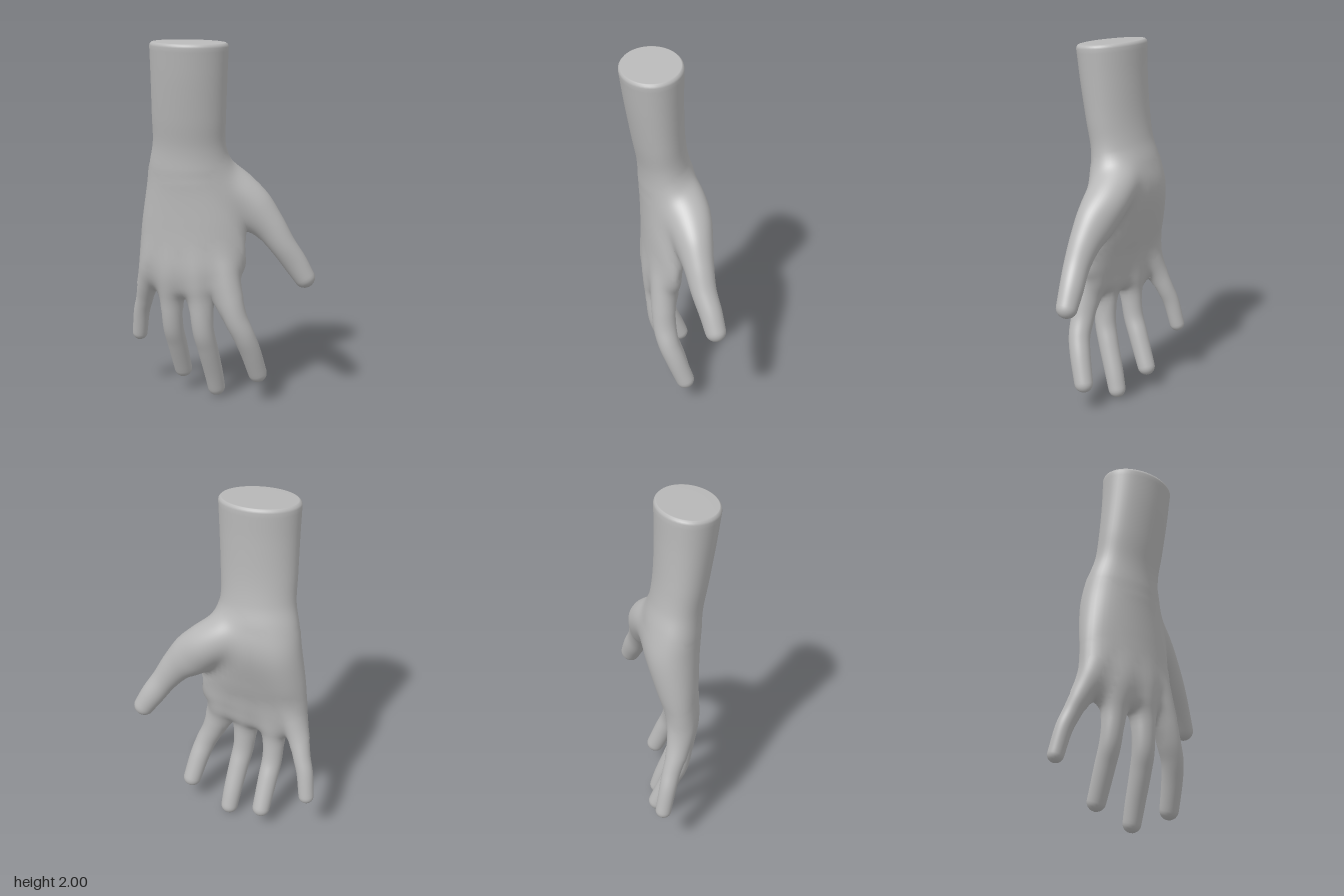
import * as THREE from 'three';

const SIDES = 48;
const FRONT = new THREE.Vector3(0, 0, 1);
const skin = new THREE.MeshStandardMaterial({ color: 0xb8b8b8 });
skin.name = 'plain grey';

// Lofts smooth elliptical sections along a path.
// Each row: [x, y, z, half width, half depth, arch]; arch bends the side edges backwards.
// start: rings before the first row as [scale, distance back]; the far end gets a dome.
function loft(name, rows, { steps = 7, dome, start = [[0, 0]] } = {}) {
  const path = new THREE.CatmullRomCurve3(rows.map(r => new THREE.Vector3(r[0], r[1], r[2])), false, 'catmullrom');
  const size = new THREE.CatmullRomCurve3(rows.map(r => new THREE.Vector3(r[3], r[4] ?? r[3], r[5] ?? 0)), false, 'catmullrom');
  const positions = [];
  const index = [];
  let rings = 0;

  const addRing = (t, scale = 1, shift = 0) => {
    const tangent = path.getTangent(t);
    const across = new THREE.Vector3().crossVectors(FRONT, tangent).normalize();
    const outward = new THREE.Vector3().crossVectors(tangent, across);
    const centre = path.getPoint(t).addScaledVector(tangent, shift);
    const s = size.getPoint(t);
    for (let j = 0; j < SIDES; j++) {
      const a = (j / SIDES) * Math.PI * 2;
      const c = Math.cos(a);
      const p = centre.clone()
        .addScaledVector(across, s.x * c * scale)
        .addScaledVector(outward, s.y * Math.sin(a) * scale - s.z * c * c * scale * scale);
      positions.push(p.x, p.y, p.z);
    }
    rings++;
  };

  start.forEach(([scale, back]) => addRing(0, scale, -back));
  const count = (rows.length - 1) * steps;
  for (let i = 0; i <= count; i++) addRing(i / count);
  const length = dome ?? rows[rows.length - 1][3];
  for (let k = 1; k <= 6; k++) {
    const a = (k / 6) * Math.PI / 2;
    addRing(1, Math.cos(a), Math.sin(a) * length);
  }

  for (let i = 0; i < rings - 1; i++) {
    for (let j = 0; j < SIDES; j++) {
      const a = i * SIDES + j;
      const b = i * SIDES + (j + 1) % SIDES;
      index.push(a, b, a + SIDES, b, b + SIDES, a + SIDES);
    }
  }
  const geometry = new THREE.BufferGeometry();
  geometry.setAttribute('position', new THREE.Float32BufferAttribute(positions, 3));
  geometry.setIndex(index);
  geometry.computeVertexNormals();
  geometry.computeBoundingBox();
  const mesh = new THREE.Mesh(geometry, skin);
  mesh.name = name;
  return mesh;
}

// Signed distance and normal of a part near p, averaged from its surface points; null when far away
function probe(part, p) {
  if (!part.box.containsPoint(p)) return null;
  const { pos, nor, reach } = part;
  const limit = 9 * reach * reach;
  const normal = new THREE.Vector3();
  let total = 0, distance = 0;
  for (let i = 0; i < pos.length; i += 3) {
    const x = p.x - pos[i], y = p.y - pos[i + 1], z = p.z - pos[i + 2];
    const d2 = x * x + y * y + z * z;
    if (d2 > limit) continue;
    const w = Math.exp(-d2 / (reach * reach));
    total += w;
    distance += w * (x * nor[i] + y * nor[i + 1] + z * nor[i + 2]);
    normal.x += w * nor[i];
    normal.y += w * nor[i + 1];
    normal.z += w * nor[i + 2];
  }
  return total > 0 ? { distance: distance / total, normal: normal.normalize() } : null;
}

// Moves the points where parts meet onto one shared, filleted skin
function blend(meshes, softness) {
  const parts = meshes.map(({ name, geometry }) => {
    const reach = name === 'forearmAndPalm' ? 0.032 : 0.024;
    return {
      reach,
      box: geometry.boundingBox.clone().expandByScalar(3 * reach),
      pos: geometry.attributes.position.array.slice(),
      nor: geometry.attributes.normal.array.slice(),
    };
  });
  const p = new THREE.Vector3();
  const n = new THREE.Vector3();
  for (const { geometry } of meshes) {
    const { position, normal } = geometry.attributes;
    for (let i = 0; i < position.count; i++) {
      p.fromBufferAttribute(position, i);
      for (let pass = 0; pass < 3; pass++) {
        const near = parts.map(part => probe(part, p)).filter(Boolean);
        if (near.length < 2) break;
        let sum = 0;
        n.set(0, 0, 0);
        for (const hit of near) {
          const w = Math.exp(-hit.distance / softness);
          sum += w;
          n.addScaledVector(hit.normal, w);
        }
        const depth = -softness * Math.log(sum);
        if (depth < -0.035) break; // buried inside another part
        n.normalize();
        p.addScaledVector(n, -depth);
        position.setXYZ(i, p.x, p.y, p.z);
        normal.setXYZ(i, n.x, n.y, n.z);
      }
    }
  }
}

export function createModel() {
  const hand = new THREE.Group();
  hand.name = 'hand';

  // Forearm with a softly rounded cut, running through the wrist into the arched palm
  hand.add(loft('forearmAndPalm', [
    [-0.115, 1.968, 0.06, 0.215, 0.166, 0],
    [-0.12, 1.8, 0.048, 0.21, 0.154, 0],
    [-0.129, 1.6, 0.027, 0.206, 0.141, 0],
    [-0.136, 1.45, 0.003, 0.205, 0.137, 0],
    [-0.14, 1.32, -0.018, 0.233, 0.15, 0.005],
    [-0.135, 1.2, -0.027, 0.254, 0.153, 0.01],
    [-0.125, 1.0, -0.002, 0.288, 0.124, 0.02],
    [-0.12, 0.85, 0.022, 0.3, 0.1, 0.035],
    [-0.112, 0.74, 0.034, 0.28, 0.083, 0.042],
    [-0.1, 0.66, 0.036, 0.225, 0.063, 0.038],
  ], { dome: 0.045, start: [[0, 0.02], [0.5, 0.02], [0.92, 0.02], [0.945, 0.019], [0.985, 0.011]] }));

  // Fleshy pad on the outer heel of the palm
  hand.add(loft('palmHeel', [
    [-0.2, 1.38, -0.02, 0.02],
    [-0.24, 1.29, -0.04, 0.06],
    [-0.275, 1.18, -0.05, 0.082, 0.085],
    [-0.31, 1.0, -0.035, 0.075, 0.068],
    [-0.33, 0.87, -0.01, 0.045, 0.04],
    [-0.335, 0.8, 0, 0.02],
  ]));

  // Thumb, widening into its muscle at the base
  hand.add(loft('thumb', [
    [-0.1, 1.36, -0.03, 0.03],
    [-0.055, 1.315, -0.06, 0.07],
    [0.005, 1.26, -0.085, 0.1, 0.106],
    [0.105, 1.18, -0.102, 0.114, 0.116],
    [0.2, 1.085, -0.11, 0.116, 0.1],
    [0.287, 0.993, -0.118, 0.09, 0.08],
    [0.36, 0.89, -0.13, 0.072, 0.068],
    [0.425, 0.79, -0.155, 0.067, 0.062],
    [0.477, 0.703, -0.172, 0.058, 0.056],
  ], { dome: 0.055 }));

  // Fingers taper to a point deep in the palm so the knuckles emerge gradually
  const fingers = {
    indexFinger: [
      [0.02, 0.93, 0, 0.015], [0.07, 0.77, 0.03, 0.062, 0.055], [0.1, 0.63, 0.04, 0.076, 0.066],
      [0.142, 0.5, 0.04, 0.065], [0.185, 0.4, 0.025, 0.06], [0.215, 0.3, -0.01, 0.057],
      [0.242, 0.164, -0.06, 0.052],
    ],
    middleFinger: [
      [-0.09, 0.93, 0.01, 0.015], [-0.075, 0.77, 0.04, 0.058], [-0.06, 0.6, 0.05, 0.062],
      [-0.045, 0.42, 0.042, 0.06], [-0.03, 0.3, 0.005, 0.057], [-0.015, 0.15, -0.05, 0.053],
      [-0.007, 0.05, -0.082, 0.049],
    ],
    ringFinger: [
      [-0.2, 0.93, 0.005, 0.015], [-0.222, 0.77, 0.03, 0.056], [-0.235, 0.6, 0.025, 0.06],
      [-0.237, 0.42, 0.003, 0.057], [-0.23, 0.3, -0.045, 0.055], [-0.22, 0.128, -0.117, 0.05],
    ],
    littleFinger: [
      [-0.29, 0.94, -0.01, 0.015], [-0.35, 0.79, -0.005, 0.055], [-0.401, 0.65, -0.033, 0.056],
      [-0.437, 0.54, -0.07, 0.049], [-0.467, 0.45, -0.095, 0.046], [-0.49, 0.316, -0.122, 0.043],
    ],
  };
  for (const [name, rows] of Object.entries(fingers)) hand.add(loft(name, rows));

  blend(hand.children, 0.024);
  return hand;
}
